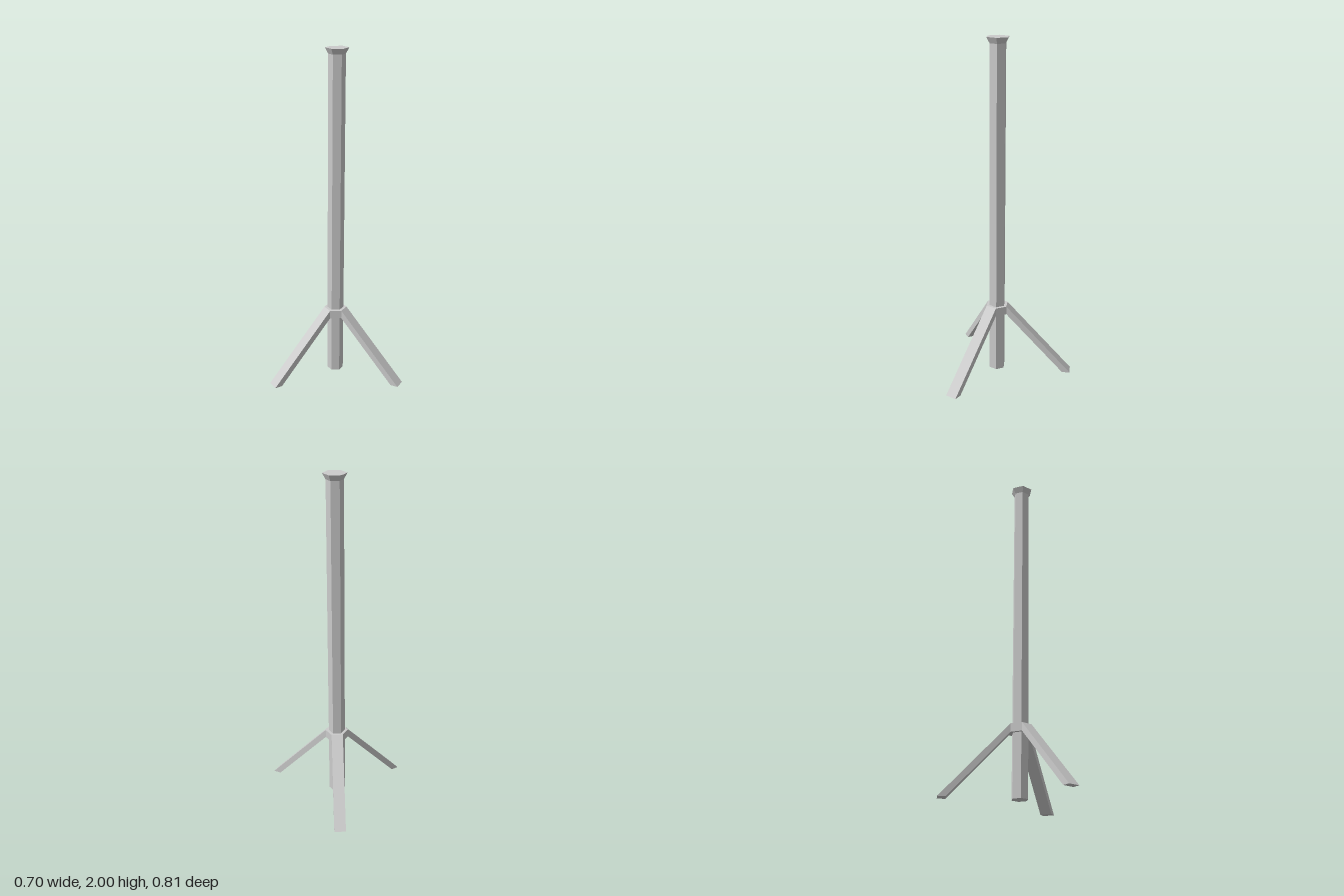
import * as THREE from 'three';

const AXIS_X = 0.0965; // pole axis, offset so the leg spread is centred
const POLE_R = 0.049;
const COLLAR_R = 0.068;

export function createModel() {
  const group = new THREE.Group();
  const material = new THREE.MeshStandardMaterial({ color: 0xcccccc, flatShading: true });

  const add = (name, geometry) => {
    const mesh = new THREE.Mesh(geometry, material);
    mesh.name = name;
    mesh.position.x = AXIS_X;
    group.add(mesh);
    return mesh;
  };

  // Six-sided prism or frustum between two heights
  const hex = (rBottom, rTop, y0, y1, open = false) =>
    new THREE.CylinderGeometry(rTop, rBottom, y1 - y0, 6, 1, open).translate(0, (y0 + y1) / 2, 0);

  // Pole flaring out into a flat cap, with a collar carrying the legs
  add('pole', hex(POLE_R, POLE_R, 0, 1.966));
  add('flaredCap', hex(POLE_R, COLLAR_R, 1.966, 2));
  add('collar', hex(COLLAR_R, COLLAR_R, 0.37, 0.42));

  // Leg side profile: radial distance against height, foot cut level with the floor
  const inner = COLLAR_R * Math.cos(Math.PI / 6);
  const profile = new THREE.Shape([
    new THREE.Vector2(inner, 0.37),
    new THREE.Vector2(0.401, 0),
    new THREE.Vector2(0.447, 0),
    new THREE.Vector2(inner, 0.42),
  ]);
  const legGeometry = new THREE.ExtrudeGeometry(profile, { depth: COLLAR_R, bevelEnabled: false });
  legGeometry.translate(0, 0, -COLLAR_R / 2);

  // Legs on alternate collar faces
  ['rightLeg', 'backLeftLeg', 'frontLeftLeg'].forEach((name, i) => {
    add(name, legGeometry).rotation.y = Math.PI - (i * Math.PI * 2) / 3;
  });

  return group;
}
